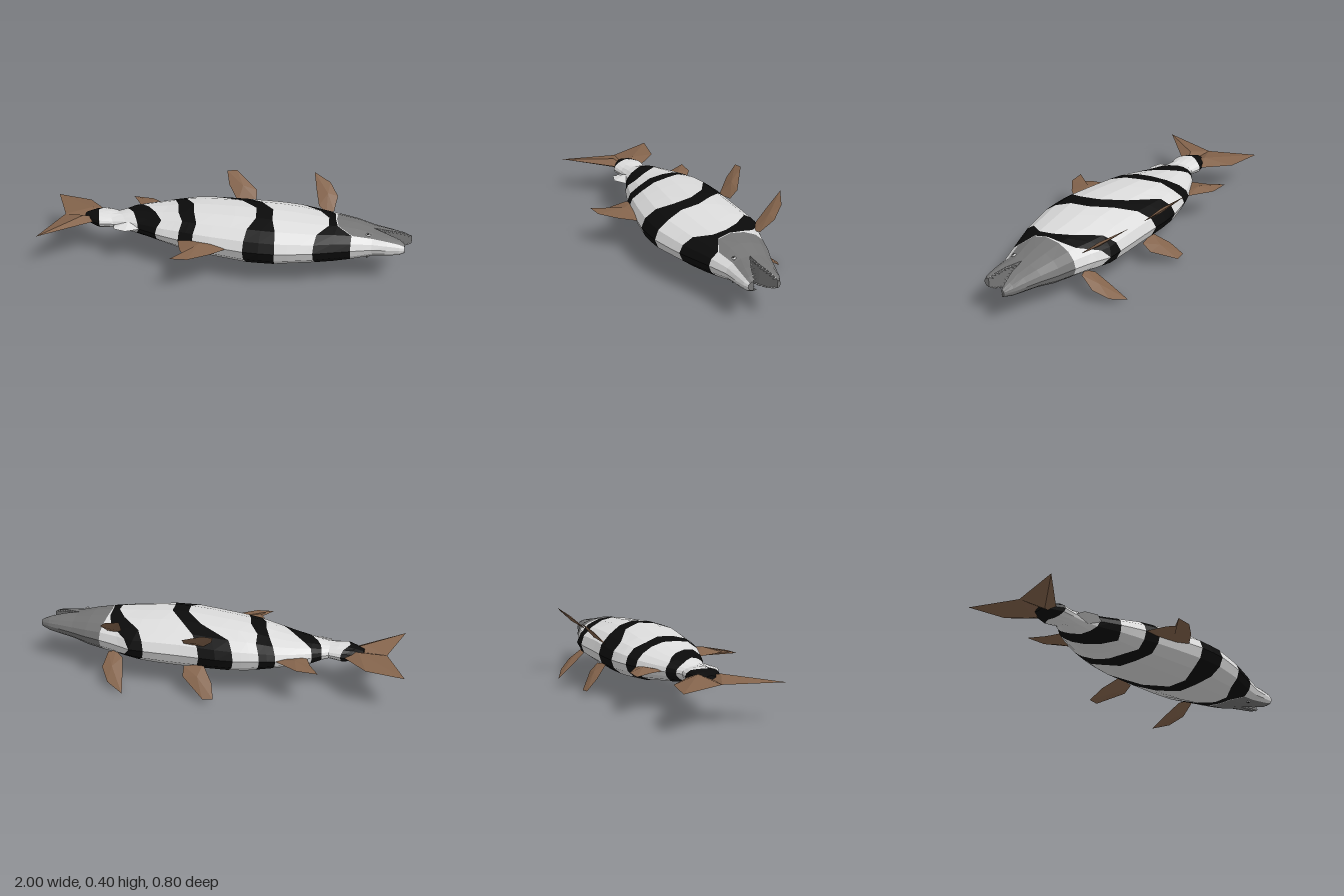
import * as THREE from 'three';

const mat = (name, color, side = THREE.FrontSide) => {
  const m = new THREE.MeshStandardMaterial({ color, side });
  m.name = name;
  return m;
};

// Body profile: x, belly z, back z, half thickness in y
const PROFILE = [
  [-0.76, -0.045, 0.02, 0.02], [-0.7, -0.09, 0.06, 0.04], [-0.66, -0.1, 0.08, 0.045],
  [-0.58, -0.085, 0.065, 0.035], [-0.5, -0.15, 0.075, 0.06], [-0.42, -0.195, 0.1, 0.07],
  [-0.32, -0.24, 0.145, 0.085], [-0.19, -0.275, 0.185, 0.112], [-0.08, -0.295, 0.215, 0.12],
  [0.16, -0.29, 0.25, 0.133], [0.3, -0.292, 0.25, 0.13], [0.43, -0.29, 0.22, 0.118],
  [0.52, -0.25, 0.195, 0.11], [0.62, -0.22, 0.155, 0.104], [0.7, -0.2, 0.125, 0.092], [0.8, -0.164, 0.09, 0.067],
];
// Stripe borders: x at these heights, from belly (-1) to back (1)
const V = [-1, -0.7, -0.35, 0, 0.35, 0.7, 1];
const BORDERS = [
  [-0.76, -0.76, -0.76, -0.76, -0.76, -0.76, -0.76],
  [-0.65, -0.66, -0.68, -0.69, -0.68, -0.67, -0.66],
  [-0.555, -0.55, -0.54, -0.52, -0.49, -0.465, -0.44],
  [-0.51, -0.5, -0.46, -0.415, -0.365, -0.31, -0.335],
  [-0.34, -0.315, -0.28, -0.25, -0.235, -0.19, -0.2],
  [-0.26, -0.23, -0.22, -0.165, -0.145, -0.11, -0.12],
  [-0.13, -0.09, 0.1, 0.18, 0.2, 0.165, 0.155],
  [0.05, 0.105, 0.2, 0.27, 0.28, 0.31, 0.32],
  [0.35, 0.4, 0.52, 0.565, 0.58, 0.52, 0.51],
  [0.43, 0.565, 0.595, 0.6, 0.61, 0.695, 0.695],
  [0.62, 0.61, 0.605, 0.605, 0.615, 0.7, 0.7],
  [0.8, 0.8, 0.8, 0.8, 0.8, 0.8, 0.8],
];
const BANDS = ['black', 'white', 'black', 'white', 'black', 'white', 'black', 'white', 'black', 'white', 'grey'];
const MID = 0.2, SIDES = 16, MOUTH_Z = -0.037;

// Linear interpolation in a table of rows whose first entry is the key
function sample(rows, k) {
  let i = 0;
  while (i < rows.length - 2 && k > rows[i + 1][0]) i++;
  const a = rows[i], b = rows[i + 1];
  const f = THREE.MathUtils.clamp((k - a[0]) / (b[0] - a[0]), 0, 1);
  return a.map((n, j) => n + (b[j] - n) * f);
}

// Faceted mesh from a list of corner points, three per triangle
function facets(name, pts, material) {
  const g = new THREE.BufferGeometry();
  g.setAttribute('position', new THREE.Float32BufferAttribute(pts.flat(), 3));
  g.computeVertexNormals();
  const m = new THREE.Mesh(g, material);
  m.name = name;
  return m;
}
const quad = (out, a, b, c, d) => out.push(a, b, c, a, c, d);

export function createModel() {
  const fish = new THREE.Group();
  fish.name = 'fish';
  const M = {
    white: mat('pale scales', 0xdcdcdc), black: mat('black stripe', 0x0b0b0b),
    grey: mat('grey head', 0x757575), brown: mat('brown fin', 0x84644c, THREE.DoubleSide),
  };

  // Striped body: rings bent along the stripe borders
  const bodyFaces = { white: [], black: [], grey: [] };
  const ring = (i, f) => Array.from({ length: SIDES + 1 }, (_, j) => {
    const t = (j / SIDES) * Math.PI * 2, v = Math.cos(t);
    const at = (row) => sample(V.map((k, n) => [k, row[n]]), v)[1];
    const x = at(BORDERS[i]) * (1 - f) + at(BORDERS[i + 1]) * f;
    const [, lo, hi, w] = sample(PROFILE, x);
    return [x, MID + w * Math.sin(t), (lo + hi) / 2 + ((hi - lo) / 2) * v];
  });
  BANDS.forEach((color, i) => {
    const steps = color === 'white' ? 3 : 2;
    for (let s = 0; s < steps; s++) {
      const a = ring(i, s / steps), b = ring(i, (s + 1) / steps);
      for (let j = 0; j < SIDES; j++) {
        const crown = color === 'grey' && (j < 2 || j >= SIDES - 2);
        quad(bodyFaces[crown ? 'white' : color], a[j], b[j], b[j + 1], a[j + 1]);
      }
    }
  });
  const end = ring(0, 0);
  for (let j = 0; j < SIDES; j++) bodyFaces.black.push([-0.76, MID, -0.012], end[j], end[j + 1]);
  for (const c in bodyFaces) fish.add(facets(c + 'Body', bodyFaces[c], M[c]));

  // Jaws: half-oval sections of x, mouth edge z, outer z, half thickness
  const JAWS = {
    upperJaw: [[0.8, MOUTH_Z, 0.09, 0.067], [0.88, 0.0, 0.08, 0.055], [0.94, 0.02, 0.07, 0.04], [0.967, 0.03, 0.058, 0.024]],
    lowerJaw: [[0.8, MOUTH_Z, -0.164, 0.067], [0.88, -0.047, -0.14, 0.055], [0.95, -0.068, -0.118, 0.04], [0.997, -0.08, -0.095, 0.02]],
  };
  for (const [name, rows] of Object.entries(JAWS)) {
    const up = name === 'upperJaw', skin = { white: [], grey: [] };
    const section = ([x, edge, outer, w]) => Array.from({ length: 9 }, (_, j) => {
      const t = (j / 8 - 0.5) * Math.PI + (up ? 0 : Math.PI);
      return [x, MID + w * Math.sin(t), edge + Math.abs(Math.cos(t)) * (outer - edge)];
    });
    const rings = rows.map(section);
    for (let i = 0; i < rings.length - 1; i++) {
      const a = rings[i], b = rings[i + 1];
      for (let j = 0; j < 8; j++) quad(skin[up && j > 1 && j < 6 ? 'white' : 'grey'], a[j], b[j], b[j + 1], a[j + 1]);
      quad(skin.grey, a[8], b[8], b[0], a[0]);
    }
    const tip = rings[rings.length - 1];
    for (let j = 1; j < 8; j++) skin.grey.push(tip[0], tip[j + 1], tip[j]);
    for (const c in skin) if (skin[c].length) fish.add(facets(name, skin[c], M[c]));

    // Teeth along both edges of the jaw
    for (const side of [-1, 1]) for (let k = 0; k < 8; k++) {
      const x0 = 0.84 + k * (up ? 0.0165 : 0.02), [, edge, , w] = sample(rows, x0);
      const len = 0.018 + (k % 2) * 0.006;
      const tooth = new THREE.Mesh(new THREE.ConeGeometry(0.005, len, 4), M.white);
      tooth.rotation.x = (up ? -1 : 1) * Math.PI / 2;
      tooth.position.set(x0, MID + side * w * 0.9, edge + (up ? -1 : 1) * len * 0.4);
      tooth.name = 'tooth';
      fish.add(tooth);
    }
  }

  // Eyes
  for (const side of [-1, 1]) {
    const eye = new THREE.Group();
    eye.name = 'eye';
    const ball = new THREE.Mesh(new THREE.SphereGeometry(0.013, 8, 6), M.white);
    ball.scale.set(1.1, 0.5, 0.8);
    const pupil = new THREE.Mesh(new THREE.SphereGeometry(0.006, 8, 6), M.black);
    pupil.position.y = 0.004 * side;
    eye.add(ball, pupil);
    eye.position.set(0.777, MID + side * 0.06, 0.036);
    eye.rotation.x = side * 0.5;
    fish.add(eye);
  }

  // Fins: x/z outline with a thicker centre; lift gives y offset from z
  function fin(name, outline, [cx, cz], thick, material = M.brown, lift = () => 0, side = 1) {
    const pts = [], P = ([x, z], d = 0) => [x, MID + side * (lift(z) + d), z];
    outline.forEach((p, i) => {
      const q = outline[(i + 1) % outline.length];
      for (const d of [thick, -thick]) {
        const tri = [P(p), P(q), P([cx, cz], d)];
        pts.push(...tri);
      }
    });
    fish.add(facets(name, pts, material));
  }
  fin('tailFinLower', [[-1, -0.255], [-0.8, -0.22], [-0.675, -0.1], [-0.66, 0], [-0.88, -0.01]], [-0.74, -0.07], 0.028);
  fin('tailFinUpper', [[-0.94, 0.295], [-0.88, -0.01], [-0.66, 0], [-0.715, 0.07]], [-0.76, 0.04], 0.026);
  fin('dorsalFin', [[-0.19, 0.15], [-0.195, 0.2], [-0.165, 0.29], [-0.13, 0.34], [-0.155, 0.38], [-0.19, 0.4],
    [-0.1, 0.39], [-0.005, 0.315], [0.07, 0.23], [0.05, 0.18]], [-0.07, 0.25], 0.025);
  fin('analFin', [[-0.575, -0.315], [-0.465, -0.31], [-0.34, -0.23], [-0.34, -0.19], [-0.48, -0.13], [-0.52, -0.23]], [-0.44, -0.23], 0.02);
  const paleFin = mat('pale small fin', 0xdcdcdc, THREE.DoubleSide);
  fin('adiposeFin', [[-0.42, 0.09], [-0.5, 0.14], [-0.57, 0.12], [-0.58, 0.075], [-0.52, 0.03]], [-0.5, 0.07], 0.025, paleFin);
  for (const side of [-1, 1]) {
    fin('pectoralFin', [[0.435, -0.4], [0.53, -0.355], [0.58, -0.29], [0.57, -0.215], [0.53, -0.205], [0.485, -0.235], [0.46, -0.31]],
      [0.525, -0.29], 0.012, M.brown, (z) => 0.065 + (-0.22 - z) * 0.76, side);
    fin('pelvicFin', [[-0.055, -0.395], [0, -0.4], [0.13, -0.315], [0.135, -0.27], [0.035, -0.255], [-0.03, -0.33]],
      [0.05, -0.32], 0.014, M.brown, (z) => 0.055 + (-0.26 - z) * 0.86, side);
  }
  return fish;
}
